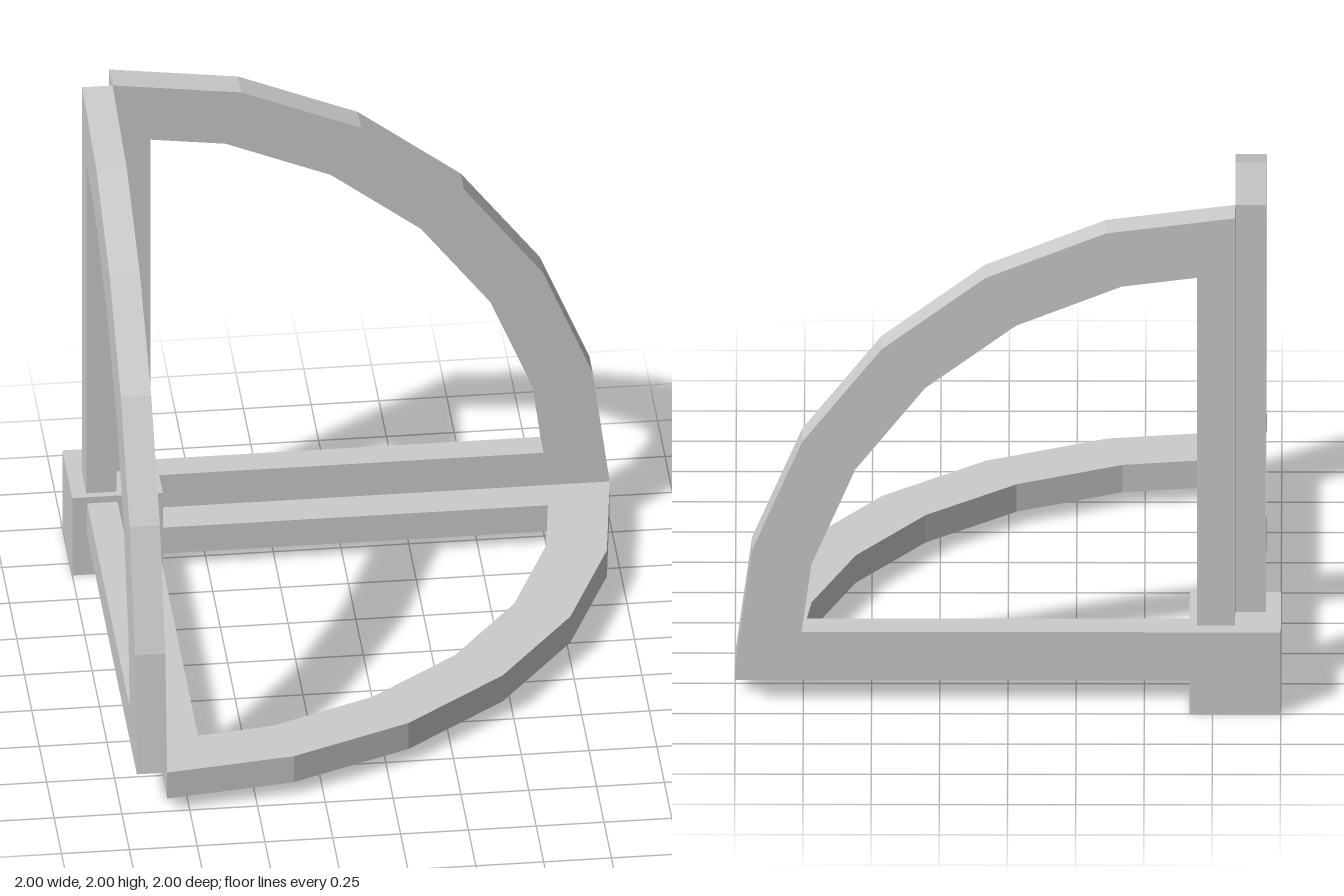
import * as THREE from 'three';

const R = 1.833;      // outer radius of each quarter frame
const RIN = 1.608;    // inner radius of the arched rim
const BAR = 0.14;     // width of the straight bars
const DEPTH = 0.112;  // thickness of a frame
const CUBE = 0.334;   // corner block size
const SEGMENTS = 6;   // facets per quarter arc

const arcPoint = (r, i) => {
  const a = (i / SEGMENTS) * Math.PI / 2;
  return new THREE.Vector2(r * Math.cos(a), r * Math.sin(a));
};

// Flat quarter disc with a similar opening, lying just behind its local z = 0
function quarterFrameGeometry() {
  const outline = [new THREE.Vector2(0, 0)];
  for (let i = 0; i <= SEGMENTS; i++) outline.push(arcPoint(R, i));

  // The first and last facets of the opening stop at the straight bars
  const first = arcPoint(RIN, 1);
  const end = RIN + (first.x - RIN) * BAR / first.y;
  const opening = [new THREE.Vector2(BAR, BAR), new THREE.Vector2(end, BAR)];
  for (let i = 1; i < SEGMENTS; i++) opening.push(arcPoint(RIN, i));
  opening.push(new THREE.Vector2(BAR, end));

  const shape = new THREE.Shape(outline);
  shape.holes.push(new THREE.Path(opening));
  const geometry = new THREE.ExtrudeGeometry(shape, { depth: DEPTH, bevelEnabled: false });
  return geometry.translate(0, 0, -DEPTH);
}

export function createModel() {
  const model = new THREE.Group();
  model.name = 'cornerFrame';
  const material = new THREE.MeshStandardMaterial({ color: 0xcccccc, flatShading: true });

  // Everything is built around the shared corner, then moved into place
  model.position.set(-1 + CUBE / 2, CUBE / 2, -1 + CUBE / 2);

  // Three identical frames, turned about the corner's diagonal
  const geometry = quarterFrameGeometry();
  const diagonal = new THREE.Vector3(1, 1, 1).normalize();
  ['backFrame', 'sideFrame', 'bottomFrame'].forEach((name, i) => {
    const frame = new THREE.Mesh(geometry, material);
    frame.name = name;
    frame.quaternion.setFromAxisAngle(diagonal, i * Math.PI * 2 / 3);
    model.add(frame);
  });

  // Block joining the frames
  const block = new THREE.Mesh(new THREE.BoxGeometry(CUBE, CUBE, CUBE), material);
  block.name = 'cornerBlock';
  model.add(block);

  const root = new THREE.Group();
  root.name = 'quarterArchCorner';
  root.add(model);
  return root;
}
